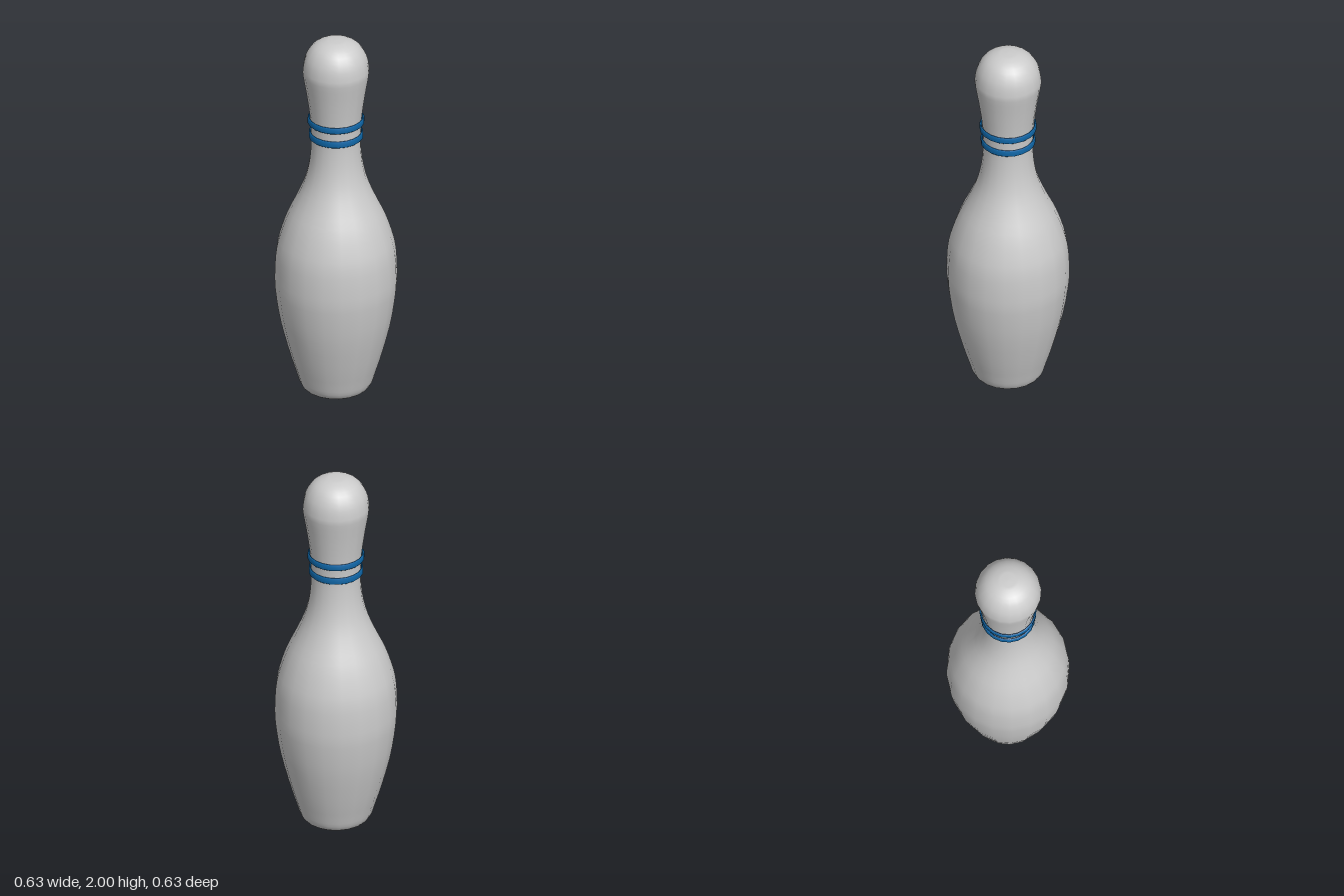
import * as THREE from 'three';

const SIDES = 20;

// Turn a [radius, height] profile around the y axis
function turned(name, points, color) {
  const geometry = new THREE.LatheGeometry(points, SIDES);
  const mesh = new THREE.Mesh(geometry, new THREE.MeshStandardMaterial({ color }));
  mesh.name = name;
  return mesh;
}

// Loose neck ring with softened edges, thin walled
function ring(name, y, outer, height) {
  const inner = outer - 0.009, h = height / 2, b = 0.005;
  const profile = [
    [inner, -h], [outer - b, -h], [outer, -h + b], [outer, h - b],
    [outer - b, h], [inner, h], [inner, -h],
  ].map(([r, dy]) => new THREE.Vector2(r, y + dy));
  return turned(name, profile, 0x0f67a8);
}

export function createModel() {
  const group = new THREE.Group();
  group.name = 'bowlingPin';

  // Pin body: rounded foot, belly, neck and domed head
  const side = new THREE.SplineCurve([
    [0.12, 0.002], [0.162, 0.02], [0.185, 0.05], [0.204, 0.11], [0.238, 0.22],
    [0.284, 0.4], [0.309, 0.56], [0.315, 0.66], [0.308, 0.8], [0.285, 0.9],
    [0.25, 1.0], [0.203, 1.1], [0.162, 1.2], [0.138, 1.3], [0.128, 1.4],
    [0.128, 1.48], [0.134, 1.57], [0.152, 1.7], [0.169, 1.8], [0.17, 1.84],
    [0.159, 1.9], [0.128, 1.955], [0.085, 1.986], [0.04, 1.999],
  ].map(([r, y]) => new THREE.Vector2(r, y)));
  const profile = [new THREE.Vector2(0, 0), ...side.getPoints(56), new THREE.Vector2(0, 2)];
  group.add(turned('pinBody', profile, 0xcccccc));

  // Two coloured neck rings
  group.add(ring('upperNeckRing', 1.545, 0.146, 0.034));
  group.add(ring('lowerNeckRing', 1.463, 0.14, 0.036));
  return group;
}
